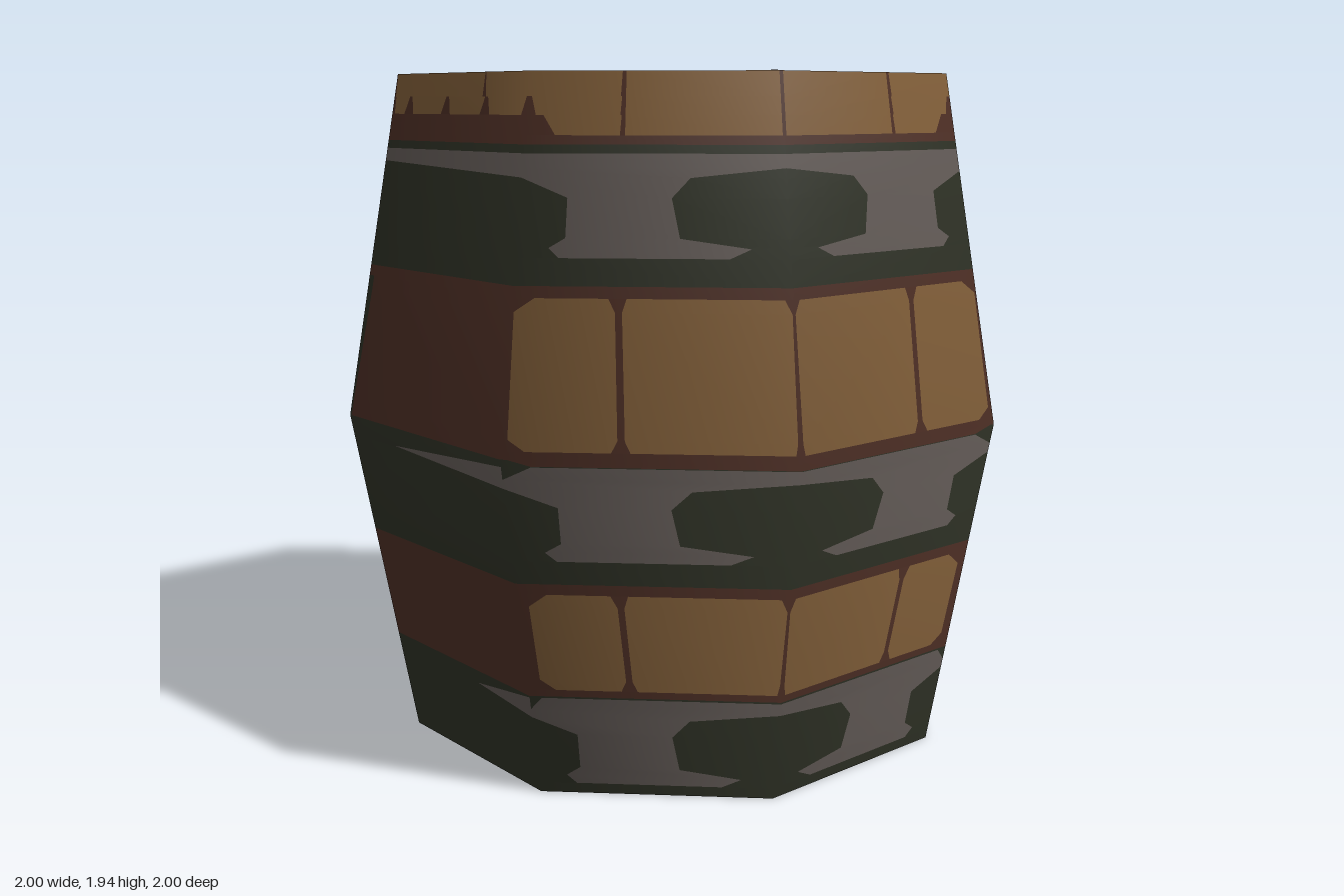
import * as THREE from 'three';

const H = 1.94, MID = 0.97, R_END = 0.83, R_MID = 1, R_IN = 0.7, FLOOR_Y = 0.59;

const material = (name, color) =>
  new THREE.MeshStandardMaterial({ name, color, side: THREE.DoubleSide });

const radius = (y) => R_MID - (R_MID - R_END) * Math.abs(y - MID) / MID;
const corner = (k) => new THREE.Vector3(Math.sin(k * Math.PI / 4), 0, Math.cos(k * Math.PI / 4));

// Collects the painted faces of the eight-sided wall, one geometry per colour.
// One quarter is described and mirrored to the other three.
class Wall {
  data = {};

  // One row: segments are [colour, end at y0, end at y1], where an end counts facets
  // round the barrel: 0 = front edge, 1 = diagonal edge, 2 = side edge.
  row(y0, y1, ...segments) {
    let s0 = 0, s1 = 0;
    for (const [key, e0 = 2, e1 = 2] of segments) {
      for (const f of [0, 1]) {
        const c = (u) => THREE.MathUtils.clamp(u, f, f + 1);
        this.quad(key, f, y0, y1, c(s0), c(e0), c(s1), c(e1));
      }
      s0 = e0;
      s1 = e1;
    }
  }

  quad(key, facet, y0, y1, a0, b0, a1, b1) {
    const tris = [];
    if (b0 - a0 > 1e-6) tris.push([[a0, y0], [b0, y0], [b1, y1]]);
    if (b1 - a1 > 1e-6) tris.push([[a0, y0], [b1, y1], [a1, y1]]);
    for (const turn of [1, -1]) for (const mirror of [1, -1]) for (const tri of tris) {
      const order = mirror > 0 ? tri : [...tri].reverse();
      for (const [u, y] of order) this.vertex(key, u, y, facet, mirror, turn);
    }
  }

  vertex(key, u, y, facet, mirror, turn) {
    const out = (this.data[key] ??= { pos: [], nor: [] });
    const dir = corner(facet).lerp(corner(facet + 1), u - facet);
    const r = radius(y);
    const n = dir.clone().normalize().setY(0.175 * (y - MID) / MID).normalize();
    out.pos.push(dir.x * r * mirror * turn, y, dir.z * r * turn);
    out.nor.push(n.x * mirror * turn, n.y, n.z * turn);
  }

  geometry(key) {
    const g = new THREE.BufferGeometry();
    g.setAttribute('position', new THREE.Float32BufferAttribute(this.data[key].pos, 3));
    g.setAttribute('normal', new THREE.Float32BufferAttribute(this.data[key].nor, 3));
    return g;
  }

  // Dark hoop with a grey shine: foot, stem, flare, and a streak reaching round the side
  hoop(base, foot, top, reach, endReach) {
    this.row(base, foot, ['d']);
    this.row(foot, foot + 0.025, ['d', 0.22, 0.14], ['g', 0.84, 0.88], ['d']);
    this.row(foot + 0.025, foot + 0.05, ['d', 0.14, 0.4], ['g', 0.88, 0.82], ['d']);
    this.row(foot + 0.05, foot + 0.15, ['d', 0.4, 0.43], ['g', 0.82, 0.82], ['d']);
    this.row(foot + 0.15, foot + 0.2, ['d', 0.43, 0.36], ['g', 0.82, 1], ['d']);
    this.row(foot + 0.2, foot + 0.225, ['d', 0.36, 0], ['g', 1, reach], ['d']);
    this.row(foot + 0.225, foot + 0.26, ['g', reach, endReach], ['d']);
    this.row(foot + 0.26, top, ['d']);
  }

  // Tan planks with rounded ends on a red-brown ground; crack widens upward at the side
  planks(y0, y1, reach, crack) {
    const side = (w0, w1) => [['r', 2 - w0, 2 - w1], ['d']];
    const a = y0 + 0.02, b = a + 0.03, d = y1 - 0.03, c = d - 0.035;
    this.row(y0, a, ...side(crack / 3, crack / 3));
    this.row(a, b, ['r', 0.018, 0.01], ['t', 0.565, 0.585], ['r', 0.63, 0.61],
      ['t', reach - 0.07, reach - 0.01], ...side(crack / 3, crack / 3));
    this.row(b, c, ['r', 0.01, 0.006], ['t', 0.585, 0.605], ['r', 0.61, 0.63],
      ['t', reach - 0.01, reach], ...side(crack / 3, crack));
    this.row(c, d, ['r', 0.006, 0.03], ['t', 0.605, 0.59], ['r', 0.63, 0.655],
      ['t', reach, reach - 0.07], ...side(crack, crack));
    this.row(d, y1, ['r']);
  }

  // Upper planks, with stain drips of tapering width round the sides
  stainedTop(y0) {
    const frontPlanks = [['r', 0.008, 0.008], ['t', 0.61, 0.61], ['r', 0.63, 0.625]];
    const drips = [];
    for (let u = 1; u < 2; u += 0.29) {
      drips.push(['t', u - 0.04, u - 0.02], ['r', u + 0.03, u]);
    }
    this.row(y0, y0 + 0.023, ['r']);
    this.row(y0 + 0.023, y0 + 0.073, ...frontPlanks, ['t', 0.88, 0.93], ['r']);
    this.row(y0 + 0.073, y0 + 0.12, ...frontPlanks, ...drips, ['t', 1.98, 1.985], ['r']);
    this.row(y0 + 0.12, H, ...frontPlanks, ['t', 1.285, 1.3], ['r', 1.31, 1.305], ['t', 1.99, 1.995], ['r']);
  }
}

export function createModel() {
  const model = new THREE.Group();
  model.name = 'barrel';
  const paint = {
    t: material('tanWood', 0x83603a),
    r: material('redBrownStain', 0x4f3026),
    d: material('darkIron', 0x2f3226),
    g: material('greyIron', 0x645c58),
  };
  const add = (name, geometry, mat, parent = model) => {
    const mesh = new THREE.Mesh(geometry, mat);
    mesh.name = name;
    parent.add(mesh);
    return mesh;
  };

  // Outer wall, from bottom to top
  const wall = new Wall();
  wall.hoop(0, 0.03, 0.295, 1.38, 0.95);
  wall.planks(0.295, 0.625, 0.96, 0);
  wall.hoop(0.625, 0.69, 0.952, 1.7, 0.9);
  wall.row(0.952, MID, ['r', 0.9, 0.98], ['d']);
  wall.planks(MID, 1.405, 0.99, 0.035);
  wall.hoop(1.405, 1.475, 1.757, 2, 2);
  wall.stainedTop(1.757);

  const outerWall = new THREE.Group();
  outerWall.name = 'outerWall';
  model.add(outerWall);
  const names = { t: 'planks', r: 'stainedPlanks', d: 'hoops', g: 'hoopShine' };
  for (const key in names) add(names[key], wall.geometry(key), paint[key], outerWall);

  // Flat top rim, straight inner wall and raised floor
  add('rim', new THREE.RingGeometry(R_IN, R_END, 8, 1).rotateX(-Math.PI / 2), paint.t).position.y = H;
  const inner = new THREE.CylinderGeometry(R_IN, R_IN, H - FLOOR_Y, 8, 1, true).toNonIndexed();
  inner.computeVertexNormals();
  add('innerWall', inner, paint.t).position.y = (H + FLOOR_Y) / 2;
  add('floor', new THREE.CircleGeometry(R_IN, 8).rotateX(-Math.PI / 2), paint.t).position.y = FLOOR_Y;

  // Stained gaps on the rim: a thin line with a wedge at each inner corner
  const rimGaps = new THREE.Group();
  rimGaps.name = 'rimGaps';
  model.add(rimGaps);
  for (let i = 0; i < 8; i++) {
    const tip = i % 2 ? 0.76 : 0.82;
    const shape = new THREE.Shape([
      [R_IN, 0], [0.672, -0.07], [0.69, -0.07], [0.715, -0.012], [tip, -0.006],
      [tip, 0.006], [0.715, 0.012], [0.69, 0.07], [0.672, 0.07],
    ].map(([x, y]) => new THREE.Vector2(x, y)));
    const gap = add('rimGap', new THREE.ShapeGeometry(shape).rotateX(-Math.PI / 2), paint.r, rimGaps);
    gap.position.y = H + 0.002;
    gap.rotation.y = i * Math.PI / 4;
  }
  return model;
}
